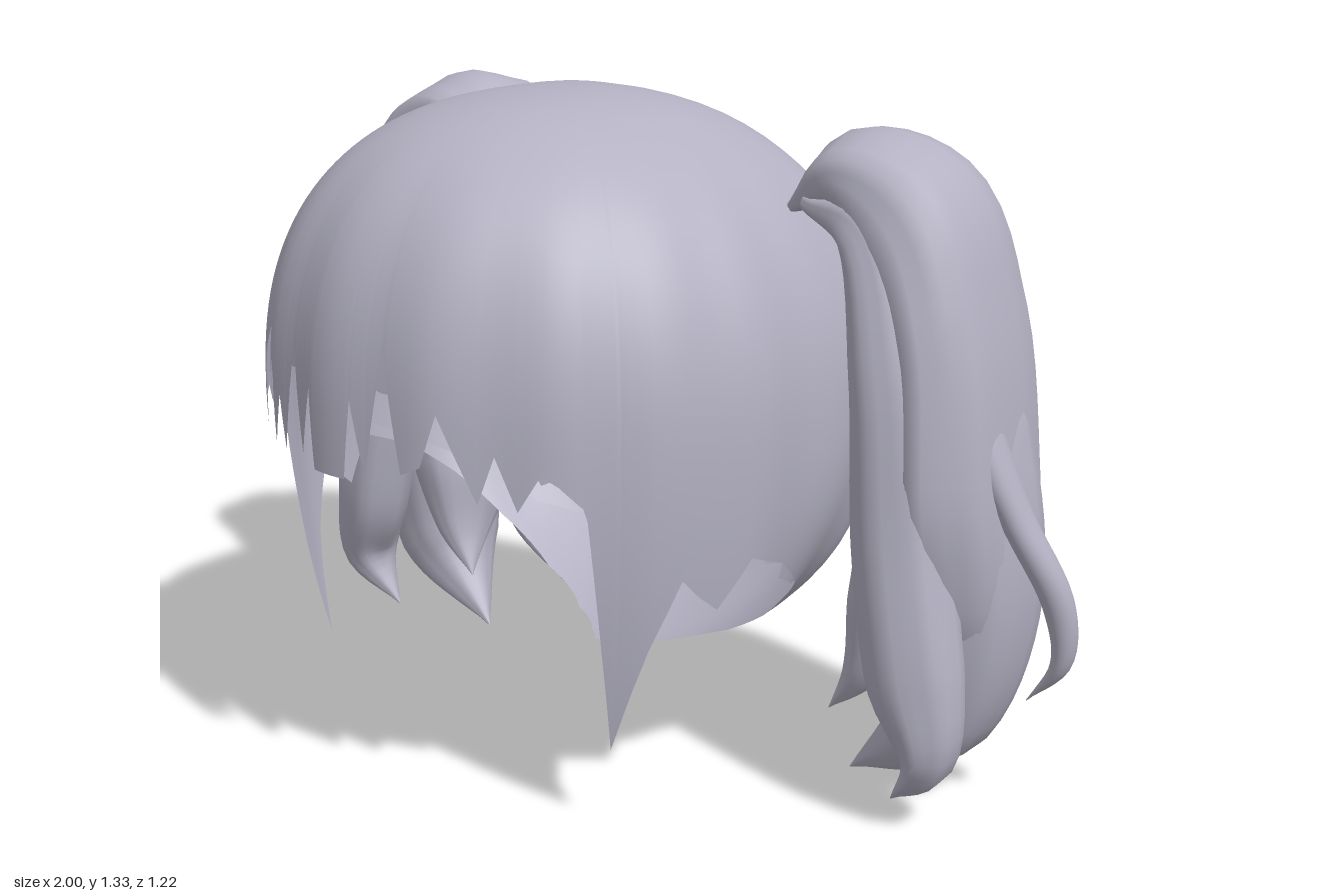
import * as THREE from 'three';
import { mergeVertices } from 'three/addons/utils/BufferGeometryUtils.js';

const hair = new THREE.MeshStandardMaterial({ color: 0xb3b1c2, side: THREE.DoubleSide });
hair.name = 'hair';

const CY = 0.74, RX = 0.575, RY = 0.585, RZ = 0.595;

// Smooth grid surface: fn(column, row) returns a point, rows run downwards
function grid(name, cols, rows, fn) {
  const pos = [], index = [];
  for (let i = 0; i <= cols; i++) {
    for (let j = 0; j <= rows; j++) {
      pos.push(...fn(i, j));
      if (i === cols || j === rows) continue;
      const a = i * (rows + 1) + j, b = a + rows + 1;
      index.push(a, a + 1, b, b, a + 1, b + 1);
    }
  }
  let geo = new THREE.BufferGeometry();
  geo.setAttribute('position', new THREE.Float32BufferAttribute(pos, 3));
  geo.setIndex(index);
  geo = mergeVertices(geo, 1e-4);
  geo.computeVertexNormals();
  const mesh = new THREE.Mesh(geo, hair);
  mesh.name = name;
  return mesh;
}

// Hair shell hanging from the crown; hem is a list of [degrees from front, height]
function shell(name, hem, scale, ripple) {
  const SUB = 5, ROWS = 36;
  const cols = (hem.length - 1) * SUB;
  return grid(name, cols, ROWS, (i, j) => {
    const k = Math.min(Math.floor(i / SUB), hem.length - 2), f = i / SUB - k;
    const phi = THREE.MathUtils.degToRad(THREE.MathUtils.lerp(hem[k][0], hem[k + 1][0], f));
    const hemY = THREE.MathUtils.lerp(hem[k][1], hem[k + 1][1], f);
    const s = Math.sin(phi), c = Math.cos(phi);
    // fuller profile towards the front
    const e = c > 0 ? 0.93 - 0.18 * c * c : 0.93;
    const h = (hemY - CY) / RY;
    const end = Math.acos(Math.sign(h) * Math.min(1, Math.abs(h)) ** (1 / e));
    const t = end * j / ROWS, ct = Math.cos(t);
    const y = CY + RY * Math.sign(ct) * Math.abs(ct) ** e;
    let r = Math.abs(Math.sin(t)) ** e;
    if (y < CY) {
      // front and side hair hangs straight, back hair curls under
      const w = 1 - THREE.MathUtils.smoothstep(Math.abs(phi), 1.35, 2);
      r = THREE.MathUtils.lerp(r, 1 - 0.13 * ((CY - y) / RY) ** 2, w);
    }
    // round plan in front, squarer behind
    const n = c > 0 ? 2 : 2.5;
    const plan = (Math.abs(s / RX) ** n + Math.abs(c / RZ) ** n) ** (-1 / n);
    r *= scale * plan * (1 + Math.sin(t) ** 2 * ripple(Math.abs(phi), t));
    return [r * s, y, r * c];
  });
}

// Tapered lock: path points and [thickness, breadth] at each point
function lock(name, side, path, widths, groove = 0.05) {
  const curve = new THREE.CatmullRomCurve3(path.map(p => new THREE.Vector3(side * p[0], p[1], p[2])));
  const size = new THREE.CatmullRomCurve3(widths.map(w => new THREE.Vector3(w[0], w[1], 0)));
  const ROWS = 32, COLS = 24, broad = new THREE.Vector3(side * 0.3, 0, 0.95).normalize();
  const frames = [];
  for (let j = 0; j <= ROWS; j++) {
    const p = curve.getPoint(j / ROWS), T = curve.getTangent(j / ROWS), w = size.getPoint(j / ROWS);
    const B = broad.clone().addScaledVector(T, -T.dot(broad)).normalize();
    frames.push({ p, B, N: B.clone().cross(T), w });
  }
  return grid(name, COLS, ROWS, (i, j) => {
    const a = -i / COLS * Math.PI * 2, { p, B, N, w } = frames[j];
    const g = 1 + groove * Math.cos(6 * a + j * 0.08);
    return p.clone()
      .addScaledVector(N, Math.cos(a) * Math.max(w.x, 0.001) * g)
      .addScaledVector(B, Math.sin(a) * Math.max(w.y, 0.001) * g).toArray();
  });
}

function pigtail(side) {
  const g = new THREE.Group();
  g.name = side > 0 ? 'leftPigtail' : 'rightPigtail';
  g.add(
    lock('pigtailBody', side,
      [[0.41, 1.12, -0.22], [0.52, 1.19, -0.25], [0.64, 1.12, -0.29], [0.72, 0.93, -0.31], [0.75, 0.65, -0.31], [0.76, 0.4, -0.31], [0.71, 0.16, -0.29]],
      [[0.01, 0.08], [0.08, 0.14], [0.12, 0.19], [0.11, 0.22], [0.12, 0.23], [0.11, 0.17], [0, 0.02]]),
    lock('frontLock', side,
      [[0.48, 1.14, -0.17], [0.61, 1.1, -0.17], [0.7, 0.85, -0.15], [0.74, 0.55, -0.14], [0.79, 0.3, -0.13], [0.82, 0.14, -0.14], [0.73, 0.03, -0.15]],
      [[0.02, 0.04], [0.06, 0.07], [0.08, 0.09], [0.09, 0.09], [0.09, 0.08], [0.05, 0.06], [0, 0]]),
    lock('middleLock', side,
      [[0.68, 1.0, -0.3], [0.74, 0.75, -0.3], [0.76, 0.45, -0.31], [0.72, 0.16, -0.3], [0.54, 0, -0.26]],
      [[0.05, 0.1], [0.12, 0.14], [0.14, 0.15], [0.1, 0.11], [0, 0]]),
    lock('backLock', side,
      [[0.58, 1.08, -0.37], [0.67, 0.85, -0.42], [0.69, 0.55, -0.45], [0.69, 0.35, -0.48], [0.62, 0.18, -0.48], [0.48, 0.08, -0.44]],
      [[0.05, 0.06], [0.09, 0.1], [0.1, 0.1], [0.09, 0.07], [0.05, 0.05], [0, 0]]),
    lock('innerLock', side,
      [[0.5, 1.13, -0.24], [0.6, 0.9, -0.27], [0.62, 0.6, -0.27], [0.62, 0.38, -0.26], [0.59, 0.23, -0.23], [0.53, 0.14, -0.2]],
      [[0.03, 0.05], [0.06, 0.12], [0.06, 0.14], [0.07, 0.12], [0.04, 0.06], [0, 0]]),
    lock('looseStrand', side,
      [[0.75, 1.0, -0.26], [0.83, 0.77, -0.24], [0.9, 0.6, -0.27], [0.965, 0.44, -0.32], [0.965, 0.32, -0.34], [0.9, 0.23, -0.33]],
      [[0.02, 0.04], [0.035, 0.05], [0.03, 0.04], [0.03, 0.03], [0.02, 0.025], [0, 0]], 0));
  return g;
}

// Mirror a front-to-back hem onto the other side
const mirrorHem = half => [...half.slice(1).reverse().map(([a, y]) => [-a, y]), ...half];

export function createModel() {
  const model = new THREE.Group();
  model.name = 'twinTailHair';

  // Cap with side locks and a back that curls under
  const capHem = mirrorHem([[0, 0.88], [12, 0.84], [25, 0.84], [30, 0.74], [36, 0.8], [42, 0.7], [47, 0.72], [50, 0.63],
    [53, 0.36], [55.5, 0.16], [59, 0.28], [62, 0.37], [68, 0.5], [72, 0.46], [76, 0.43], [83, 0.52], [94, 0.48],
    [104, 0.41], [114, 0.32], [126, 0.23], [140, 0.18], [155, 0.165], [168, 0.16], [180, 0.16]]);
  model.add(shell('cap', capHem, 1, (p, t) => {
    const back = THREE.MathUtils.smoothstep(p, 1.6, 2.4);
    const waves = 0.012 * Math.sin(13 * p + 5 * t) + 0.008 * Math.sin(7 * p - 9 * t);
    const groove = -0.02 * Math.exp(-(((Math.PI - p) / 0.1) ** 2));
    return back * (waves + groove + 0.008) + (1 - back) * 0.007 * Math.sin(17 * p + t);
  }));

  // Inner lining, shorter at the nape, with a crease down the middle
  const liningHem = mirrorHem([[0, 0.9], [30, 0.86], [50, 0.76], [70, 0.6], [90, 0.52], [110, 0.42], [125, 0.34],
    [140, 0.31], [146, 0.33], [152, 0.31], [158, 0.33], [164, 0.31], [172, 0.32], [180, 0.36]]);
  model.add(shell('lining', liningHem, 0.96, p => -0.03 * Math.exp(-(((Math.PI - p) / 0.08) ** 2))));

  // Jagged fringe layered over the cap
  const fringeHem = [[-49, 0.66], [-46, 0.72], [-43, 0.7], [-40, 0.74], [-36, 0.67], [-32, 0.74], [-27, 0.82], [-21, 0.92],
    [-19, 0.68], [-17, 0.78], [-15, 0.68], [-11.5, 0.89], [-8, 0.69], [-5, 0.82], [-3.5, 0.67], [4.5, 0.67],
    [6, 0.82], [9, 0.68], [13, 0.92], [17, 0.7], [21, 0.72], [24, 0.82], [31, 0.66], [34, 0.75], [38, 0.65],
    [42, 0.72], [45, 0.7], [49, 0.66]];
  model.add(shell('fringe', fringeHem, 1.02, (p, t) => 0.008 * Math.cos(16 * p) * Math.min(1, t)));

  model.add(pigtail(1), pigtail(-1));
  return model;
}
